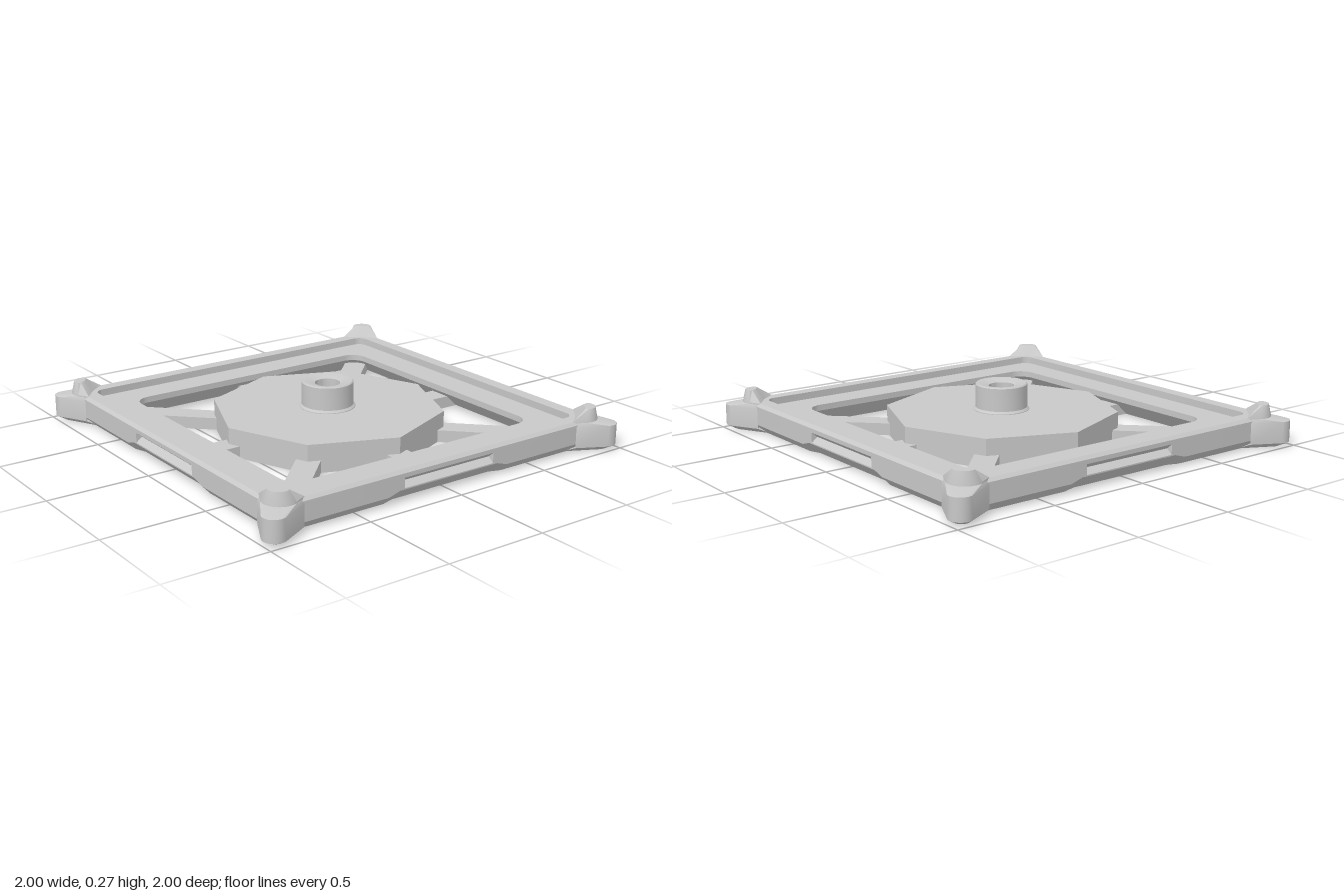
import * as THREE from 'three';
import { toCreasedNormals } from 'three/addons/utils/BufferGeometryUtils.js';

const HOLE = 0.062;

// Skin rings of [x, y, z] points; rings run counter-clockwise seen from above.
function loft(rings, closed) {
  const pos = [];
  const n = rings[0].length;
  const v = (p) => new THREE.Vector3(...p);
  const tri = (a, b, c) => {
    const area = v(b).sub(v(a)).cross(v(c).sub(v(a))).length();
    if (area > 1e-8) pos.push(...a, ...b, ...c);
  };
  const last = closed ? rings.length : rings.length - 1;
  for (let i = 0; i < last; i++) {
    const lo = rings[i], hi = rings[(i + 1) % rings.length];
    for (let j = 0; j < n; j++) {
      const k = (j + 1) % n;
      tri(lo[j], lo[k], hi[k]);
      tri(lo[j], hi[k], hi[j]);
    }
  }
  if (!closed) {
    const mid = (r) => [0, 1, 2].map((a) => r.reduce((s, p) => s + p[a], 0) / n);
    const bottom = rings[0], top = rings[rings.length - 1];
    const cb = mid(bottom), ct = mid(top);
    for (let j = 0; j < n; j++) {
      const k = (j + 1) % n;
      tri(cb, bottom[k], bottom[j]);
      tri(ct, top[j], top[k]);
    }
  }
  const geo = new THREE.BufferGeometry();
  geo.setAttribute('position', new THREE.Float32BufferAttribute(pos, 3));
  return toCreasedNormals(geo, 0.5);
}

// Rounded square ring; rows may change over the middle of each side.
function squareRing({ h, r, y, midH = h, midY = y, slotH = midH }) {
  const pts = [];
  const c = h - r;
  for (let k = 0; k < 4; k++) {
    const side = [
      [h, y, 0.34], [midH, midY, 0.28], [midH, midY, 0.255], [slotH, midY, 0.255],
      [slotH, midY, -0.255], [midH, midY, -0.255], [midH, midY, -0.28], [h, y, -0.34],
    ];
    for (let i = 0; i <= 8; i++) {
      const a = (i / 8) * Math.PI / 2;
      side.push([c + r * Math.cos(a), y, -c - r * Math.sin(a)]);
    }
    for (let [x, py, z] of side) {
      for (let q = 0; q < k; q++) [x, z] = [z, -x];
      pts.push([x, py, z]);
    }
  }
  return pts;
}

// Corner outline, mirrored about the diagonal, with a round tip.
function cornerRing(y, tail, centre, r, inner) {
  const pts = [[tail[0], y, tail[1]]];
  for (let i = 0; i <= 10; i++) {
    const a = THREE.MathUtils.degToRad(115 - 14 * i);
    pts.push([centre + r * Math.cos(a), y, centre + r * Math.sin(a)]);
  }
  pts.push([tail[1], y, tail[0]], [inner, y, inner]);
  return pts;
}

function polygon(radius, sides, holeShape) {
  const pts = [];
  for (let i = 0; i < sides; i++) {
    const a = (i / sides) * Math.PI * 2;
    pts.push(new THREE.Vector2(radius * Math.cos(a), radius * Math.sin(a)));
  }
  const shape = new THREE.Shape(pts);
  if (holeShape) shape.holes.push(holeShape);
  return shape;
}

function slab(shape, y0, y1) {
  const geo = new THREE.ExtrudeGeometry(shape, { depth: y1 - y0, bevelEnabled: false });
  geo.rotateX(-Math.PI / 2).translate(0, y0, 0);
  return toCreasedNormals(geo, 0.5);
}

export function createModel() {
  const model = new THREE.Group();
  model.name = 'squareTray';
  const grey = new THREE.MeshStandardMaterial({ color: 0xc8c8c8 });
  grey.name = 'plainGrey';
  const add = (name, geo, parent = model) => {
    const mesh = new THREE.Mesh(geo, grey);
    mesh.name = name;
    parent.add(mesh);
    return mesh;
  };

  // Square frame: chamfered foot, side slots, rim, recessed ledge and sloped underside
  add('frame', loft([
    { h: 0.88, r: 0.06, y: 0, midH: 0.86 },
    { h: 0.92, r: 0.05, y: 0.042, midY: 0.06 },
    { h: 0.92, r: 0.05, y: 0.066 },
    { h: 0.92, r: 0.05, y: 0.09, slotH: 0.89 },
    { h: 0.92, r: 0.05, y: 0.115 },
    { h: 0.92, r: 0.05, y: 0.135 },
    { h: 0.905, r: 0.05, y: 0.15 },
    { h: 0.84, r: 0.05, y: 0.15 },
    { h: 0.84, r: 0.05, y: 0.115 },
    { h: 0.695, r: 0.08, y: 0.115 },
    { h: 0.695, r: 0.08, y: 0.085 },
    { h: 0.785, r: 0.08, y: 0 },
  ].map(squareRing), true));

  // Corner bumpers and the raised guides above them
  const bumper = loft([
    cornerRing(0, [0.74, 0.87], 0.925, 0.035, 0.83),
    cornerRing(0.022, [0.78, 0.92], 0.945, 0.055, 0.86),
    cornerRing(0.126, [0.78, 0.92], 0.945, 0.055, 0.86),
    cornerRing(0.143, [0.79, 0.915], 0.865, 0.08, 0.86),
  ], false);
  const guide = loft([
    cornerRing(0.12, [0.77, 0.905], 0.865, 0.08, 0.845),
    cornerRing(0.15, [0.77, 0.905], 0.862, 0.08, 0.845),
    cornerRing(0.203, [0.852, 0.905], 0.875, 0.05, 0.872),
  ], false);
  for (let i = 0; i < 4; i++) {
    const corner = new THREE.Group();
    corner.name = 'corner' + (i + 1);
    corner.rotation.y = i * Math.PI / 2;
    add('bumper', bumper, corner);
    add('guide', guide, corner);
    model.add(corner);
  }

  // Octagonal plate, its skirt and the round base underneath
  const hole = polygon(HOLE, 32);
  add('plate', slab(polygon(0.57, 8, hole), 0.09, 0.14));
  add('plateSkirt', slab(polygon(0.57, 8, polygon(0.5, 8)), 0, 0.091));
  add('hubBase', slab(polygon(0.36, 40, hole), 0, 0.091));

  // Eight spokes reaching under the frame
  for (let i = 0; i < 8; i++) {
    const end = i % 2 ? 1.09 : 0.82;
    const geo = new THREE.BoxGeometry(end - 0.3, 0.06, 0.115);
    geo.translate((end + 0.3) / 2, 0.03, 0);
    add('spoke' + (i + 1), geo).rotation.y = i * Math.PI / 4;
  }

  // Hollow centre post with a flared base and a shallow countersink
  const profile = [
    [HOLE, 0.135], [0.137, 0.135], [0.137, 0.143], [0.127, 0.153], [0.127, 0.265],
    [0.122, 0.27], [0.105, 0.27], [HOLE, 0.256], [HOLE, 0.135],
  ].map(([x, y]) => new THREE.Vector2(x, y));
  add('post', toCreasedNormals(new THREE.LatheGeometry(profile, 40), 0.5));

  return model;
}
